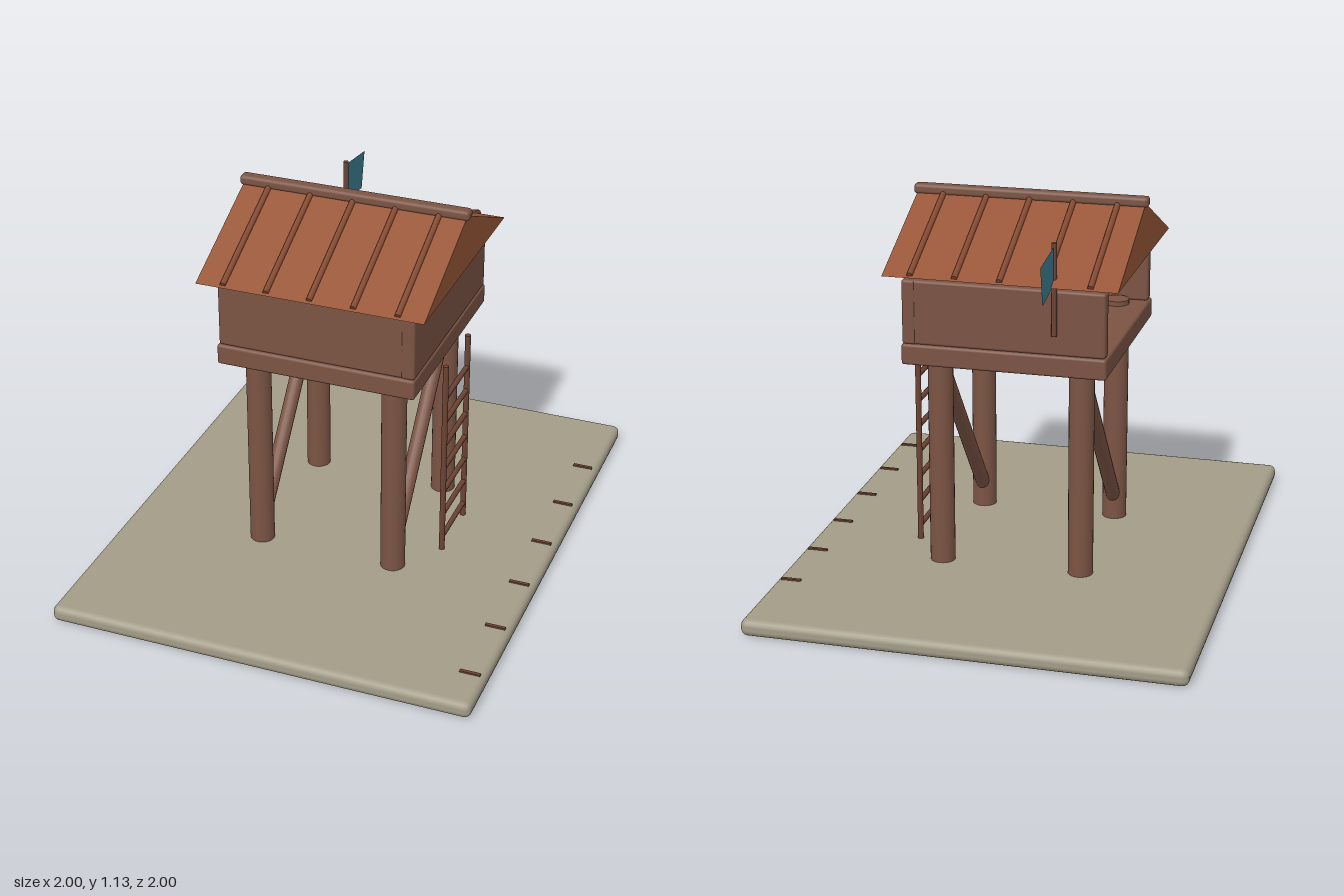
import * as THREE from 'three';
import { RoundedBoxGeometry } from 'three/addons/geometries/RoundedBoxGeometry.js';

const material = (name, color) => {
  const m = new THREE.MeshStandardMaterial({ color });
  m.name = name;
  return m;
};

export function createModel() {
  const stone = material('stone', 0xa39c88);
  const wood = material('wood', 0x7b5444);
  const darkWood = material('dark wood', 0x6c4333);
  const roofRed = material('roof red', 0x985638);
  const batten = material('batten brown', 0x844a32);
  const cloth = material('blue cloth', 0x3d7d90);
  cloth.side = THREE.DoubleSide;

  const model = new THREE.Group();
  model.name = 'watchtower';
  const tower = new THREE.Group();
  tower.name = 'tower';
  tower.rotation.y = Math.PI / 4;
  model.add(tower);

  const add = (name, geometry, mat, x = 0, y = 0, z = 0) => {
    const mesh = new THREE.Mesh(geometry, mat);
    mesh.name = name;
    mesh.position.set(x, y, z);
    tower.add(mesh);
    return mesh;
  };
  // box with softened edges, placed by its centre
  const block = (name, mat, [w, h, d], [x, y, z], r = 0.008) =>
    add(name, new RoundedBoxGeometry(w, h, d, 2, r), mat, x, y, z);
  // round pole between two points
  const pole = (name, mat, from, to, r, sides = 16) => {
    const a = new THREE.Vector3(...from), b = new THREE.Vector3(...to);
    const dir = b.clone().sub(a);
    const mesh = add(name, new THREE.CylinderGeometry(r, r, dir.length(), sides), mat);
    mesh.position.copy(a).add(b).multiplyScalar(0.5);
    mesh.quaternion.setFromUnitVectors(new THREE.Vector3(0, 1, 0), dir.normalize());
    return mesh;
  };

  // ground slab with a row of small marks along the front edge
  block('groundSlab', stone, [1.58, 0.05, 1.274], [0, 0.025, 0], 0.02);
  for (let i = 0; i < 6; i++)
    add('edgeMark', new THREE.BoxGeometry(0.01, 0.008, 0.06), darkWood, -0.65 + i * 0.229, 0.051, 0.592);

  // posts and diagonal braces
  for (const z of [-0.21, 0.21]) {
    for (const x of [-0.23, 0.23]) pole('post', wood, [x, 0.04, z], [x, 0.755, z], 0.037, 24);
    pole('brace', wood, [-0.23, 0.1, z], [0.23, 0.67, z], 0.022);
  }

  // platform and parapet, open at the back
  block('platform', wood, [0.64, 0.062, 0.6], [0, 0.71, 0]);
  block('frontWall', wood, [0.63, 0.19, 0.04], [0, 0.835, 0.278]);
  for (const s of [-1, 1])
    block('sideWall', wood, [0.04, 0.19, 0.585], [s * 0.293, 0.835, -0.003]);

  // ladder
  for (const x of [-0.1, 0.1]) pole('ladderRail', darkWood, [x, 0.05, 0.32], [x, 0.68, 0.32], 0.009, 10);
  for (let i = 0; i < 7; i++) {
    const y = 0.094 + i * 0.08;
    pole('ladderRung', darkWood, [-0.1, y, 0.32], [0.1, y, 0.32], 0.008, 10);
  }

  // gabled roof
  const gable = new THREE.Shape([
    new THREE.Vector2(-0.36, 0.95), new THREE.Vector2(0.36, 0.95), new THREE.Vector2(0, 1.115),
  ]);
  add('roof', new THREE.ExtrudeGeometry(gable, { depth: 0.68, bevelEnabled: false }), roofRed, 0, 0, -0.34);
  block('ridgeBeam', wood, [0.038, 0.03, 0.7], [0, 1.12, 0], 0.01);

  // battens running down both slopes
  for (const s of [-1, 1])
    for (let i = -2; i <= 2; i++)
      pole('roofBatten', batten, [s * 0.015, 1.11, i * 0.13], [s * 0.352, 0.956, i * 0.13], 0.009, 8);

  // flag on its pole
  pole('flagPole', darkWood, [0.32, 0.8, -0.15], [0.32, 1.07, -0.15], 0.008, 10);
  const flag = new THREE.Shape([
    new THREE.Vector2(0.325, 0.95), new THREE.Vector2(0.452, 0.925),
    new THREE.Vector2(0.476, 1.04), new THREE.Vector2(0.325, 1.06),
  ]);
  add('flag', new THREE.ShapeGeometry(flag), cloth, 0, 0, -0.15);

  return model;
}
